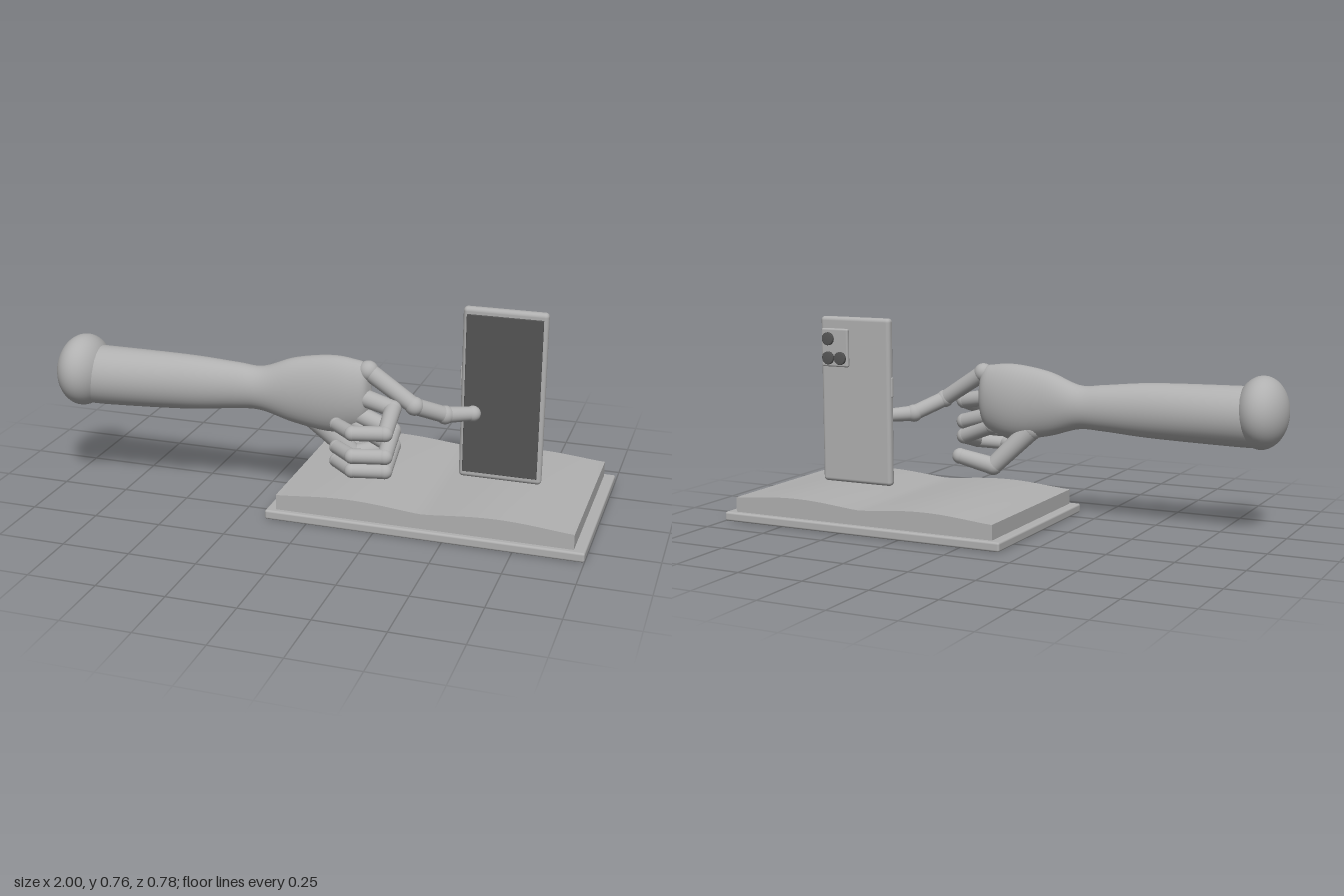
import * as THREE from 'three';
import { RoundedBoxGeometry } from 'three/addons/geometries/RoundedBoxGeometry.js';

const grey = new THREE.MeshStandardMaterial({ color: 0xb0b0b0 });
grey.name = 'matte grey';
const dark = new THREE.MeshStandardMaterial({ color: 0x555555 });
dark.name = 'dark glass';

const V = (x, y, z) => new THREE.Vector3(x, y, z);

function add(parent, name, geometry, material, x = 0, y = 0, z = 0) {
  const mesh = new THREE.Mesh(geometry, material);
  mesh.name = name;
  mesh.position.set(x, y, z);
  parent.add(mesh);
  return mesh;
}

// Box given by its minimum and maximum corners, with rounded edges
function roundedBox(parent, name, material, min, max, radius) {
  const s = max.map((v, i) => v - min[i]);
  const c = max.map((v, i) => (v + min[i]) / 2);
  return add(parent, name, new RoundedBoxGeometry(...s, 4, radius), material, ...c);
}

// Chain of tapered segments with ball joints; joints are [x, y, z, radius]
function digit(parent, name, joints, waist = 0.9) {
  const group = new THREE.Group();
  group.name = name;
  joints.forEach(([x, y, z, r], i) => {
    add(group, 'joint', new THREE.SphereGeometry(r, 24, 16), grey, x, y, z);
    if (i === 0) return;
    const [px, py, pz, pr] = joints[i - 1];
    const a = V(px, py, pz), d = V(x, y, z).sub(a);
    const bone = add(group, 'segment',
      new THREE.CylinderGeometry(r * waist, pr * waist, d.length(), 24, 1, true), grey);
    bone.position.copy(a).addScaledVector(d, 0.5);
    bone.quaternion.setFromUnitVectors(V(0, 1, 0), d.normalize());
  });
  parent.add(group);
}

// Smooth skin through elliptical sections [x, centre y, radius y, centre z, radius z]
function limbGeometry(sections, steps = 60, n = 40) {
  const centre = new THREE.CatmullRomCurve3(sections.map(s => V(s[0], s[1], s[3])), false, 'catmullrom');
  const radius = new THREE.CatmullRomCurve3(sections.map(s => V(s[2], s[4], 0)), false, 'catmullrom');
  const pos = [], index = [];
  for (let i = 0; i <= steps; i++) {
    const c = centre.getPoint(i / steps), r = radius.getPoint(i / steps);
    for (let j = 0; j < n; j++) {
      const a = (j / n) * Math.PI * 2;
      pos.push(c.x, c.y + r.x * Math.cos(a), c.z + r.y * Math.sin(a));
      if (i === steps) continue;
      const p = i * n + j, q = i * n + (j + 1) % n;
      index.push(p, q, p + n, q, q + n, p + n);
    }
  }
  const g = new THREE.BufferGeometry();
  g.setAttribute('position', new THREE.Float32BufferAttribute(pos, 3));
  g.setIndex(index);
  g.computeVertexNormals();
  return g;
}

function buildBook() {
  const book = new THREE.Group();
  book.name = 'openBook';
  roundedBox(book, 'cover', grey, [-0.157, 0, -0.39], [1, 0.035, 0.336], 0.008);

  // Page block: the top rises in one hump on each side of the spine
  const g = new THREE.BoxGeometry(1.08, 1, 0.684, 48, 1, 8);
  const p = g.attributes.position;
  for (let i = 0; i < p.count; i++) {
    const t = (p.getX(i) + 0.54) / 0.54;
    const hump = Math.pow(Math.abs(Math.sin(Math.PI * t)), 1.3);
    const bow = 1 - 0.18 * (p.getZ(i) / 0.342) ** 2;
    p.setY(i, p.getY(i) < 0 ? 0.035 : 0.091 + 0.022 * hump * bow);
  }
  g.computeVertexNormals();
  add(book, 'pages', g, grey, 0.42, 0, -0.027);
  return book;
}

function buildPhone() {
  const phone = new THREE.Group();
  phone.name = 'phone';
  roundedBox(phone, 'body', grey, [0.474, 0.114, -0.044], [0.779, 0.76, -0.008], 0.015);
  roundedBox(phone, 'screen', dark, [0.489, 0.138, -0.010], [0.764, 0.736, -0.003], 0.002);
  roundedBox(phone, 'sideButton', grey, [0.469, 0.46, -0.032], [0.48, 0.535, -0.02], 0.003);
  roundedBox(phone, 'cameraPlate', grey, [0.648, 0.568, -0.061], [0.765, 0.716, -0.043], 0.007);
  for (const [x, y] of [[0.733, 0.676], [0.733, 0.602], [0.68, 0.602]]) {
    const profile = [[0, 0], [0.025, 0], [0.025, 0.009], [0.022, 0.012], [0, 0.012]];
    const lens = add(phone, 'lens',
      new THREE.LatheGeometry(profile.map(q => new THREE.Vector2(...q)), 28), dark, x, y, -0.059);
    lens.rotation.x = -Math.PI / 2;
  }
  return phone;
}

function buildArm() {
  const arm = new THREE.Group();
  arm.name = 'pointingArm';
  const elbow = add(arm, 'elbow', new THREE.SphereGeometry(1, 40, 28), grey, -0.906, 0.457, 0.222);
  elbow.scale.set(0.094, 0.133, 0.133);

  add(arm, 'forearmAndPalm', limbGeometry([
    [-0.92, 0.44, 0.11, 0.212, 0.1],
    [-0.8, 0.44, 0.11, 0.21, 0.1],
    [-0.5, 0.442, 0.102, 0.193, 0.082],
    [-0.32, 0.442, 0.087, 0.174, 0.067],
    [-0.22, 0.44, 0.083, 0.168, 0.064],
    [-0.1, 0.445, 0.122, 0.165, 0.068],
    [0.03, 0.446, 0.143, 0.163, 0.073],
    [0.12, 0.452, 0.133, 0.165, 0.067],
    [0.175, 0.46, 0.105, 0.168, 0.048],
    [0.195, 0.465, 0.001, 0.168, 0.001],
  ]), grey);

  digit(arm, 'indexFinger', [
    [0.18, 0.548, 0.168, 0.037],
    [0.352, 0.437, 0.174, 0.034],
    [0.443, 0.385, 0.09, 0.034],
    [0.53, 0.378, 0.029, 0.029],
  ], 0.88);

  // Three curled fingers: knuckle, two bends and tip, each lower than the last
  const curled = [
    ['middleFinger', 0.455, 0.43, 0.388, 0.376],
    ['ringFinger', 0.385, 0.348, 0.303, 0.292],
    ['littleFinger', 0.345, 0.29, 0.25, 0.24],
  ];
  for (const [name, knuckle, bend, outer, tip] of curled) {
    digit(arm, name, [
      [0.15, knuckle, 0.18, 0.034],
      [0.282, bend, 0.205, 0.031],
      [0.295, outer, 0.345, 0.028],
      [0.18, (outer + tip) / 2, 0.36, 0.027],
      [0.098, tip, 0.28, 0.025],
    ], 0.97);
  }

  digit(arm, 'thumb', [
    [-0.03, 0.345, 0.155, 0.042],
    [0.11, 0.2, 0.109, 0.035],
    [0.232, 0.236, 0.07, 0.03],
  ], 0.97);
  return arm;
}

export function createModel() {
  const model = new THREE.Group();
  model.name = 'handPhoneAndBook';
  model.add(buildBook(), buildPhone(), buildArm());
  return model;
}
